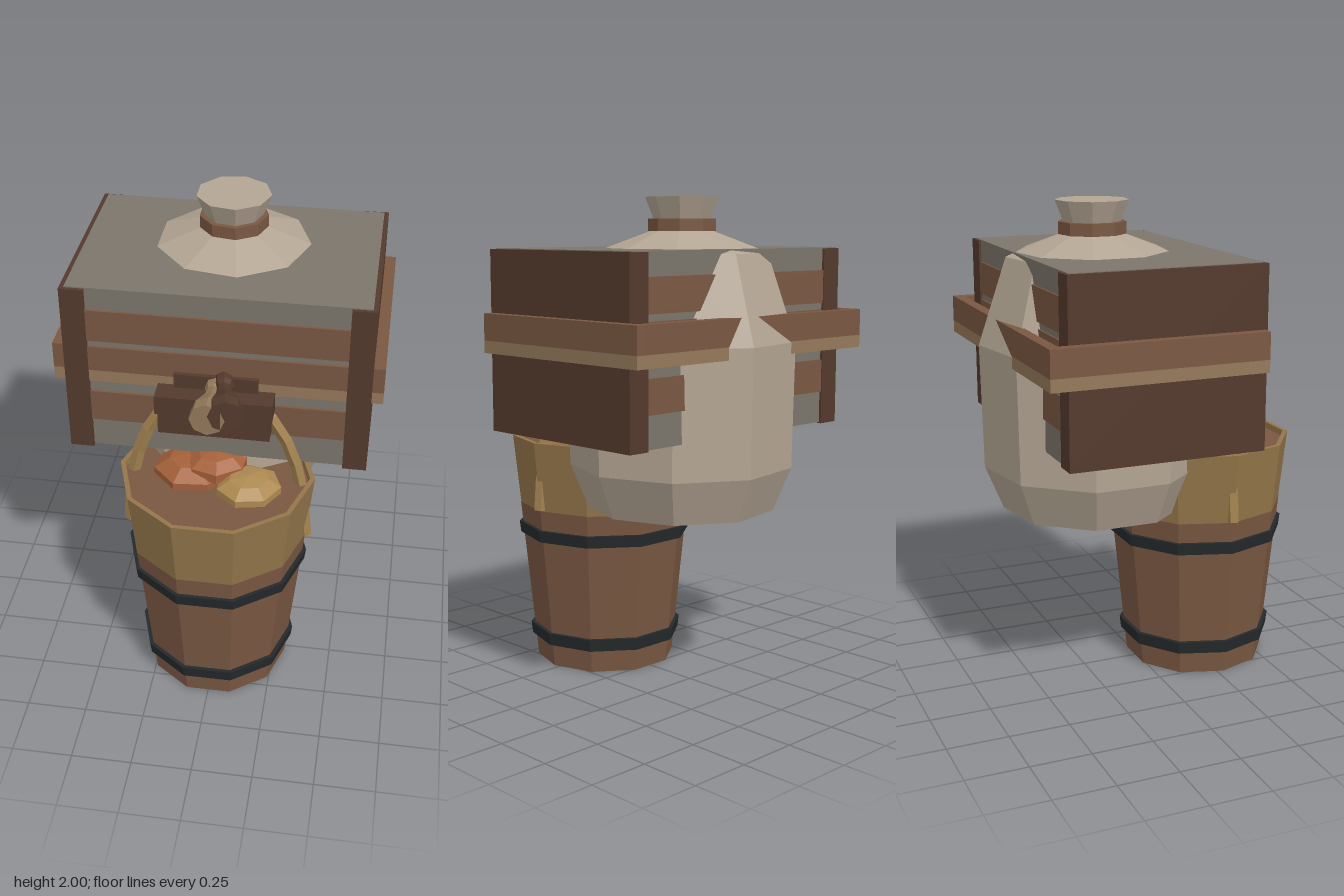
import * as THREE from 'three';

const mat = (name, color, side = THREE.FrontSide) => {
  const m = new THREE.MeshStandardMaterial({ color, flatShading: true, side });
  m.name = name;
  return m;
};

export function createModel() {
  const wood = mat('wood', 0x7a5842);
  const darkWood = mat('dark wood', 0x543a2d);
  const paleWood = mat('pale wood', 0x94795a);
  const wicker = mat('wicker', 0x94764a, THREE.DoubleSide);
  const handleWood = mat('handle wood', 0xa38350);
  const iron = mat('iron', 0x25292b);
  const canvas = mat('grey canvas', 0x7c766b);
  const cloth = mat('sack cloth', 0xb3a593, THREE.DoubleSide);
  const orange = mat('orange food', 0xa5613a);
  const yellow = mat('yellow food', 0xae8a52);

  const root = new THREE.Group();
  root.name = 'loadedPack';
  const add = (name, geo, m, x = 0, y = 0, z = 0) => {
    const mesh = new THREE.Mesh(geo, m);
    mesh.name = name;
    mesh.position.set(x, y, z);
    root.add(mesh);
    return mesh;
  };
  // Box given by its minimum and maximum corners
  const block = (name, m, [x0, y0, z0], [x1, y1, z1]) =>
    add(name, new THREE.BoxGeometry(x1 - x0, y1 - y0, z1 - z0), m,
      (x0 + x1) / 2, (y0 + y1) / 2, (z0 + z1) / 2);

  // Ten-sided barrel with iron hoops
  const BZ = 0.275;
  const drum = (name, m, rTop, rBottom, y0, y1, open = false) =>
    add(name, new THREE.CylinderGeometry(rTop, rBottom, y1 - y0, 10, 1, open, Math.PI / 10),
      m, 0, (y0 + y1) / 2, BZ);
  drum('barrel', wood, 0.37, 0.3, 0, 0.695);
  drum('lowerHoop', iron, 0.332, 0.326, 0.098, 0.15);
  drum('upperHoop', iron, 0.377, 0.371, 0.56, 0.61);

  // Basket on top of the barrel, its contents and its arched handle
  drum('basket', wicker, 0.4, 0.368, 0.69, 0.99, true);
  drum('basketLining', wicker, 0.38, 0.376, 0.955, 0.99, true);
  const rim = new THREE.RingGeometry(0.38, 0.4, 10, 1);
  add('basketRim', rim, wicker, 0, 0.99, BZ).rotation.x = -Math.PI / 2;
  drum('basketFilling', wood, 0.379, 0.379, 0.95, 0.965);
  const food = (name, m, p, s, turn) => {
    const lump = add(name, new THREE.SphereGeometry(1, 7, 5), m, ...p);
    lump.scale.set(...s);
    lump.rotation.y = turn;
  };
  food('largeFood', orange, [-0.1, 0.97, 0.25], [0.17, 0.08, 0.16], 0.3);
  food('upperFood', orange, [0, 1.02, 0.25], [0.14, 0.065, 0.13], 0.8);
  food('smallFood', yellow, [0.14, 0.975, 0.35], [0.14, 0.065, 0.13], 0.4);

  const half = [[0.37, 0.7], [0.345, 0.95], [0.29, 1.15], [0.2, 1.3], [0.1, 1.36]];
  const arch = new THREE.CatmullRomCurve3([
    ...half.map(([x, y]) => new THREE.Vector3(-x, y, BZ)),
    new THREE.Vector3(0, 1.38, BZ),
    ...half.slice().reverse().map(([x, y]) => new THREE.Vector3(x, y, BZ)),
  ]);
  add('basketHandle', new THREE.TubeGeometry(arch, 14, 0.027, 5), handleWood);

  // Crate: canvas filling, end panels, corner posts and slats
  block('crateFilling', canvas, [-0.582, 1.07, -0.51], [0.582, 1.798, 0.27]);
  for (const s of [-1, 1]) {
    const span = (a, b) => (s > 0 ? [a, b] : [-b, -a]);
    const [p0, p1] = span(0.58, 0.6);
    block('crateEnd', darkWood, [p0, 1.065, -0.52], [p1, 1.795, 0.285]);
    const [c0, c1] = span(0.505, 0.598);
    block('frontPost', darkWood, [c0, 1.065, 0.26], [c1, 1.794, 0.285]);
    block('backPost', darkWood, [c0, 1.065, -0.52], [c1, 1.794, -0.5]);
    // Two-tone side rails
    const [r0, r1] = span(0.6, 0.645);
    block('sideRail', wood, [r0, 1.435, -0.605], [r1, 1.543, 0.275]);
    block('sideRailTrim', paleWood, [r0, 1.385, -0.605], [r1, 1.435, 0.275]);
  }
  for (const [z0, z1] of [[0.26, 0.281], [-0.517, -0.5]]) {
    block('topSlat', wood, [-0.507, 1.57, z0], [0.507, 1.705, z1]);
    block('middleSlat', wood, [-0.507, 1.435, z0], [0.507, 1.543, z1]);
    block('middleSlatTrim', paleWood, [-0.507, 1.385, z0], [0.507, 1.435, z1]);
    block('bottomSlat', wood, [-0.507, 1.2, z0], [0.507, 1.335, z1]);
  }
  block('backRail', wood, [-0.6, 1.435, -0.605], [0.6, 1.543, -0.56]);
  block('backRailTrim', paleWood, [-0.6, 1.385, -0.605], [0.6, 1.435, -0.52]);

  // Nine-sided sack standing through the crate, tied at the neck
  const SZ = -0.195;
  const lathe = (name, m, pts) => add(name, new THREE.LatheGeometry(
    pts.map(([r, y]) => new THREE.Vector2(r, y)), 9, Math.PI / 2), m, 0, 0, SZ);
  lathe('sack', cloth, [[0.385, 0.74], [0.458, 0.92], [0.467, 1.43], [0.35, 1.78],
    [0.31, 1.798], [0.13, 1.865], [0.115, 1.91], [0.15, 2], [0, 2]]);
  lathe('sackCord', wood, [[0.11, 1.865], [0.138, 1.865], [0.138, 1.915], [0.11, 1.915]]);

  // Stepped bracket on the crate front
  block('bracketBase', darkWood, [-0.22, 1.225, 0.28], [0.22, 1.325, 0.365]);
  block('bracketShelf', darkWood, [-0.23, 1.32, 0.28], [0.23, 1.4, 0.375]);
  block('bracketBack', darkWood, [-0.165, 1.4, 0.28], [0.165, 1.46, 0.3]);

  // Two flared pegs pointing forward
  const profile = [[0, 0], [0.04, 0], [0.04, 0.04], [0.03, 0.06], [0.038, 0.11],
    [0.068, 0.19], [0.068, 0.245], [0, 0.245]].map(([r, y]) => new THREE.Vector2(r, y));
  const peg = (name, m, x, y, turn) => {
    const mesh = add(name, new THREE.LatheGeometry(profile, 8), m, x, y, 0.28);
    mesh.rotation.set(Math.PI / 2, 0, -turn);
  };
  peg('palePeg', paleWood, 0, 1.42, 0);
  peg('darkPeg', darkWood, 0.03, 1.44, 0.17);

  return root;
}
